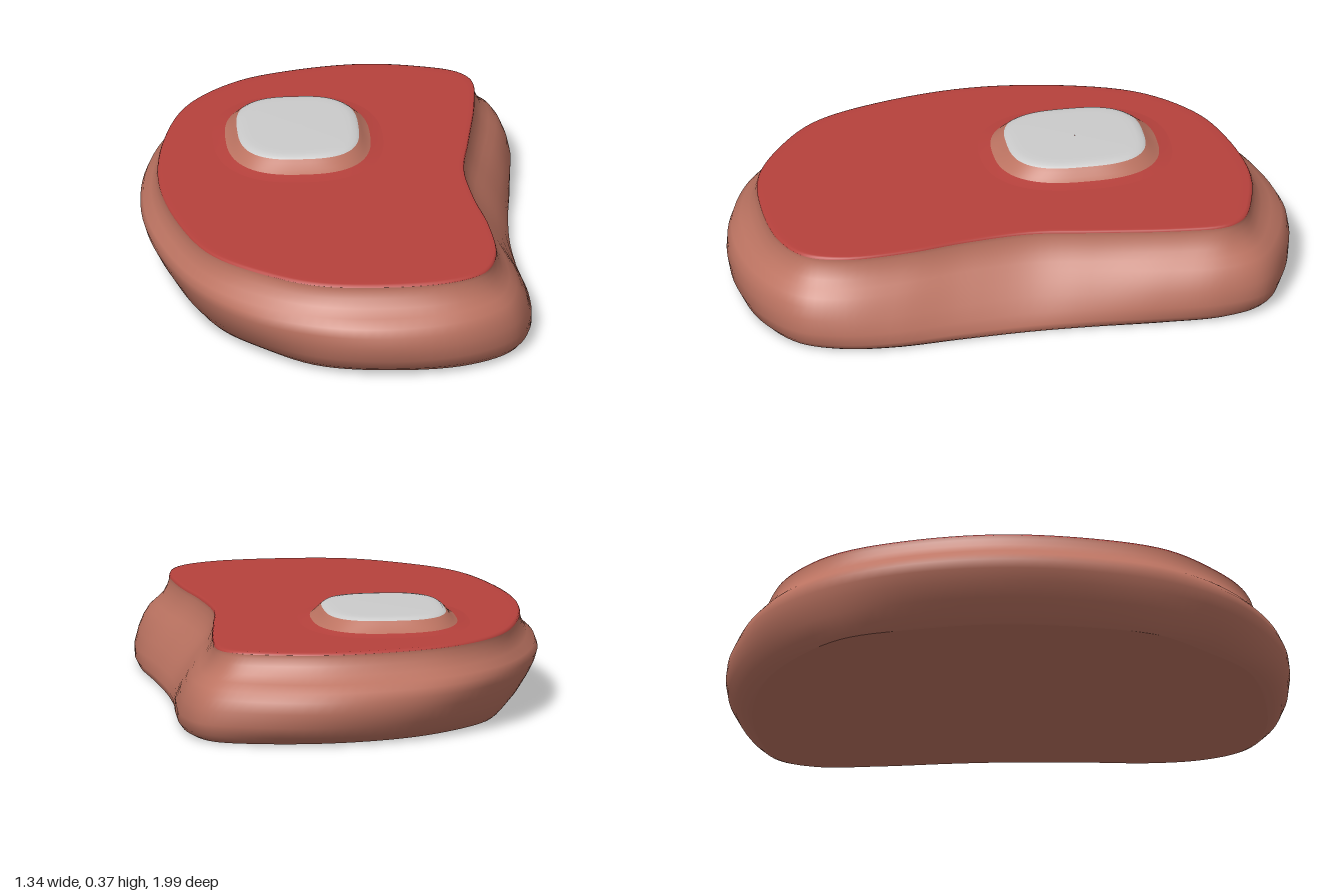
import * as THREE from 'three';

const SEG = 128;

// Control points [x, z] of the widest outline and of the cut top face, paired by index
const OUTER = [[.17, -1], [.45, -.95], [.62, -.85], [.67, -.68], [.66, -.45], [.63, -.2], [.62, 0], [.64, .25],
  [.67, .5], [.66, .68], [.6, .83], [.42, .95], [.15, .99], [-.1, .95], [-.35, .82], [-.53, .6],
  [-.64, .3], [-.68, 0], [-.64, -.35], [-.52, -.63], [-.33, -.84], [-.1, -.95]];
const TOP = [[.15, -.87], [.35, -.84], [.48, -.79], [.53, -.72], [.53, -.55], [.49, -.25], [.46, -.03], [.48, .2],
  [.52, .42], [.53, .65], [.48, .78], [.35, .85], [.1, .87], [-.12, .84], [-.3, .74], [-.47, .58],
  [-.57, .33], [-.62, 0], [-.58, -.33], [-.48, -.59], [-.3, -.76], [-.1, -.835]];

// Outline at height y: the bulge past the top face differs on the left, the ends and the right
function slabRing([y, left, ends, right]) {
  const pts = TOP.map(([x, z], i) => {
    const c = Math.cos(Math.atan2(z * 0.6, x - 0.05));
    const w = ends + ((c > 0 ? right : left) - ends) * c * c;
    return new THREE.Vector3(x + (OUTER[i][0] - x) * w, y, z + (OUTER[i][1] - z) * w);
  });
  const curve = new THREE.CatmullRomCurve3(pts, true, 'centripetal');
  return Array.from({ length: SEG }, (_, i) => curve.getPoint(i / SEG));
}

// Rounded-square outline around the bone
function boneRing([y, rx, rz, power = 2.9]) {
  const f = (v) => Math.sign(v) * Math.abs(v) ** (2 / power);
  return Array.from({ length: SEG }, (_, i) => {
    const a = (i / SEG) * Math.PI * 2;
    return new THREE.Vector3(-0.11 + rx * f(Math.cos(a)), y, -0.29 + rz * f(Math.sin(a)));
  });
}

const scaled = (ring, s, y) => {
  const mid = ring.reduce((m, p) => m.add(p), new THREE.Vector3()).divideScalar(ring.length);
  return ring.map((p) => new THREE.Vector3().lerpVectors(mid, p, s).setY(y));
};

// Skin a stack of closed rings, bottom to top
function loft(name, color, rings) {
  const pos = [], index = [];
  rings.forEach((r) => r.forEach((p) => pos.push(p.x, p.y, p.z)));
  for (let i = 0; i < rings.length - 1; i++) {
    for (let j = 0; j < SEG; j++) {
      const k = (j + 1) % SEG, a = i * SEG, b = a + SEG;
      index.push(a + j, b + j, a + k, b + j, b + k, a + k);
    }
  }
  const geo = new THREE.BufferGeometry();
  geo.setAttribute('position', new THREE.Float32BufferAttribute(pos, 3));
  geo.setIndex(index);
  geo.computeVertexNormals();
  const mesh = new THREE.Mesh(geo, new THREE.MeshStandardMaterial({ color }));
  mesh.name = name;
  return mesh;
}

export function createModel() {
  const group = new THREE.Group();
  group.name = 'steak';
  const fat = 0xbd7462, meat = 0xb6413c;

  // Fat rim: [height, bulge left, bulge at the ends, bulge right]
  const side = [[0, -1.3, .25, .93], [.01, -1.05, .45, 1], [.03, -.7, .72, 1], [.07, -.05, .93, .9], [.12, .5, 1, .7],
    [.16, .85, .96, .51], [.19, 1, .82, .36], [.215, .85, .52, .24], [.24, .38, .25, .13],
    [.27, .1, .08, .05], [.295, 0, 0, 0], [.308, 0, 0, 0]].map(slabRing);
  group.add(loft('fatRim', fat, side));

  // Flat underside
  group.add(loft('underside', fat, [scaled(side[0], 0.001, 0), side[0]]));

  // Cut meat face with a small rounded edge
  const edge = side[side.length - 1];
  group.add(loft('meatFace', meat, [edge, scaled(edge, 0.996, .314), scaled(edge, 0.985, .317),
    scaled(edge, 0.95, .317), scaled(edge, 0.001, .317)]));

  // Meat swelling up towards the bone
  group.add(loft('meatSwell', meat, [[.316, .31, .35, 2.4], [.319, .28, .32, 2.5], [.324, .255, .293, 2.6]].map(boneRing)));

  // Fat collar around the bone
  group.add(loft('boneCollar', fat, [[.324, .255, .293, 2.6], [.335, .238, .274], [.35, .225, .256], [.36, .214, .244]].map(boneRing)));

  // Bone with a softened edge
  const bone = [[.36, .214, .244], [.367, .204, .234], [.37, .185, .215]].map(boneRing);
  group.add(loft('bone', 0xcccccc, [...bone, scaled(bone[2], 0.85, .371), scaled(bone[2], 0.001, .371)]));

  return group;
}
